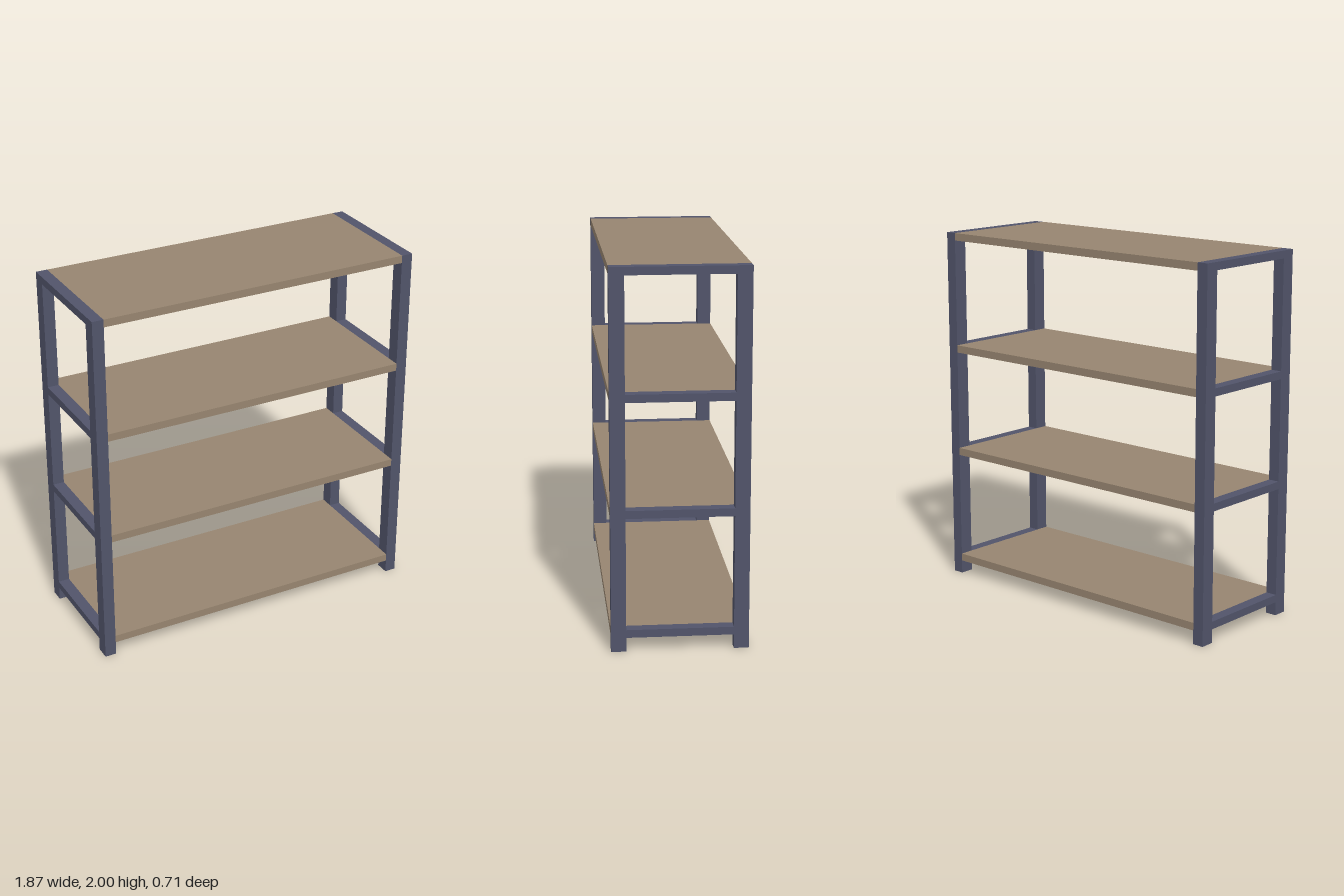
import * as THREE from 'three';

const HEIGHT = 2, HALF_WIDTH = 0.935, HALF_DEPTH = 0.357;
const POST_X = 0.063, POST_Z = 0.078, BOARD = 0.042;
const SHELF_TOPS = [0.117, 0.757, 1.36, 2];

export function createModel() {
  const model = new THREE.Group();
  model.name = 'shelvingUnit';
  const metal = new THREE.MeshStandardMaterial({ color: 0x51546a });
  const wood = new THREE.MeshStandardMaterial({ color: 0x978570 });

  const box = (name, material, size, position) => {
    const mesh = new THREE.Mesh(new THREE.BoxGeometry(...size), material);
    mesh.name = name;
    mesh.position.set(...position);
    model.add(mesh);
  };

  const postX = HALF_WIDTH - POST_X / 2;
  const postZ = HALF_DEPTH - POST_Z / 2;

  for (const [side, sx] of [['left', 1], ['right', -1]]) {
    // Corner posts
    for (const [end, sz] of [['Front', 1], ['Back', -1]]) {
      box(`${side}${end}Post`, metal, [POST_X, HEIGHT, POST_Z], [sx * postX, HEIGHT / 2, sz * postZ]);
    }
    // Side rails joining the posts at each shelf
    SHELF_TOPS.forEach((top, i) => {
      box(`${side}Rail${i + 1}`, metal, [POST_X, BOARD, 2 * (HALF_DEPTH - POST_Z)], [sx * postX, top - BOARD / 2, 0]);
    });
  }

  // Shelf boards spanning between the side frames
  SHELF_TOPS.forEach((top, i) => {
    box(`shelf${i + 1}`, wood, [2 * (HALF_WIDTH - POST_X), BOARD, 2 * HALF_DEPTH], [0, top - BOARD / 2, 0]);
  });

  return model;
}
